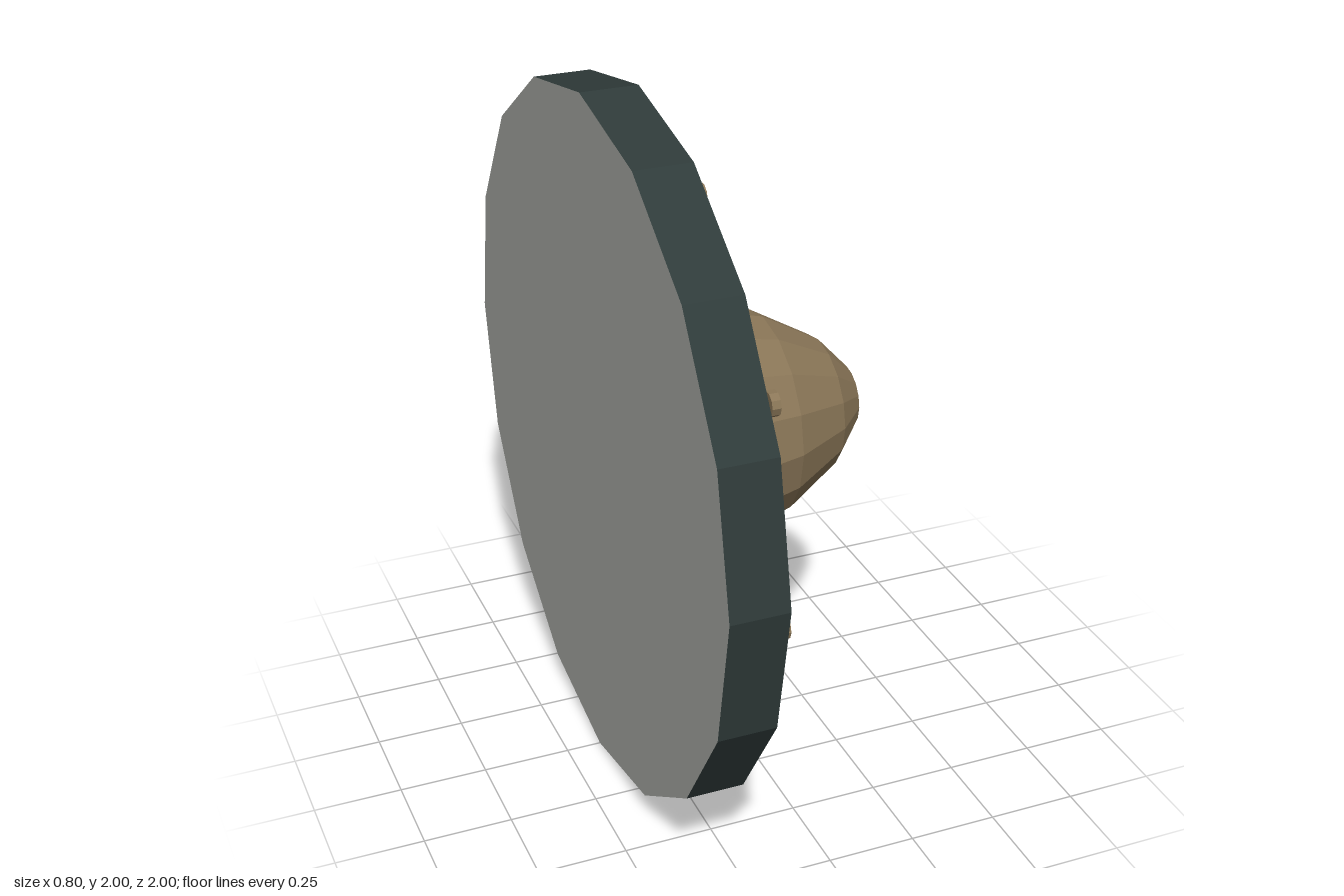
import * as THREE from 'three';

const SIDES = 16;

// Faceted frustum along +x, from x0 (radius r0) to x1 (radius r1).
function frustum(x0, r0, x1, r1, segments = SIDES, start = 0, sweep = Math.PI * 2) {
  const geo = new THREE.CylinderGeometry(r1, r0, x1 - x0, segments, 1, true, start, sweep);
  return facet(geo.rotateZ(-Math.PI / 2).translate((x0 + x1) / 2, 0, 0));
}

function facet(geo) {
  const flat = geo.toNonIndexed();
  flat.computeVertexNormals();
  return flat;
}

export function createModel() {
  const shield = new THREE.Group();
  shield.name = 'shield';
  shield.position.y = 1;

  const material = (name, color) => {
    const m = new THREE.MeshStandardMaterial({ color });
    m.name = name;
    return m;
  };
  const dark = material('dark green', 0x2f3b3a);
  const slate = material('slate grey', 0x626e72);
  const bronze = material('bronze', 0x8b7758);
  const steel = material('pale steel', 0xa9aba6);

  const add = (name, geo, mat, parent = shield) => {
    const mesh = new THREE.Mesh(geo, mat);
    mesh.name = name;
    parent.add(mesh);
    return mesh;
  };

  // Disc edge, flat back and bevelled front rim
  add('discEdge', frustum(-0.4, 1, -0.24, 1), dark);
  const back = new THREE.CircleGeometry(1, SIDES).rotateY(-Math.PI / 2).translate(-0.4, 0, 0);
  add('backPlate', back, steel);
  add('frontRim', frustum(-0.24, 1, -0.2, 0.89), steel);

  // Eight alternating panels
  const panels = new THREE.Group();
  panels.name = 'panels';
  shield.add(panels);
  const wedge = Math.PI / 4;
  for (let i = 0; i < 8; i++) {
    add('panel', frustum(-0.2, 0.89, -0.11, 0.52, 2, i * wedge, wedge), i % 2 ? dark : slate, panels);
  }

  // Collar and domed boss
  add('bossCollar', frustum(-0.11, 0.52, -0.04, 0.33), bronze);
  const profile = [[0.33, -0.04], [0.29, 0.11], [0.19, 0.28], [0.09, 0.37], [0, 0.4]]
    .map(([r, x]) => new THREE.Vector2(r, x));
  add('boss', facet(new THREE.LatheGeometry(profile, SIDES).rotateZ(-Math.PI / 2)), bronze);

  // Ring of studs, one on each panel
  const studs = new THREE.Group();
  studs.name = 'studs';
  shield.add(studs);
  const studGeo = facet(new THREE.CylinderGeometry(0.034, 0.034, 0.024, 10).rotateZ(-Math.PI / 2));
  for (let i = 0; i < 8; i++) {
    const a = -Math.PI / 12 + i * wedge;
    add('stud', studGeo, bronze, studs).position.set(-0.158, 0.786 * Math.cos(a), -0.786 * Math.sin(a));
  }

  const model = new THREE.Group();
  model.name = 'roundShield';
  model.add(shield);
  return model;
}
